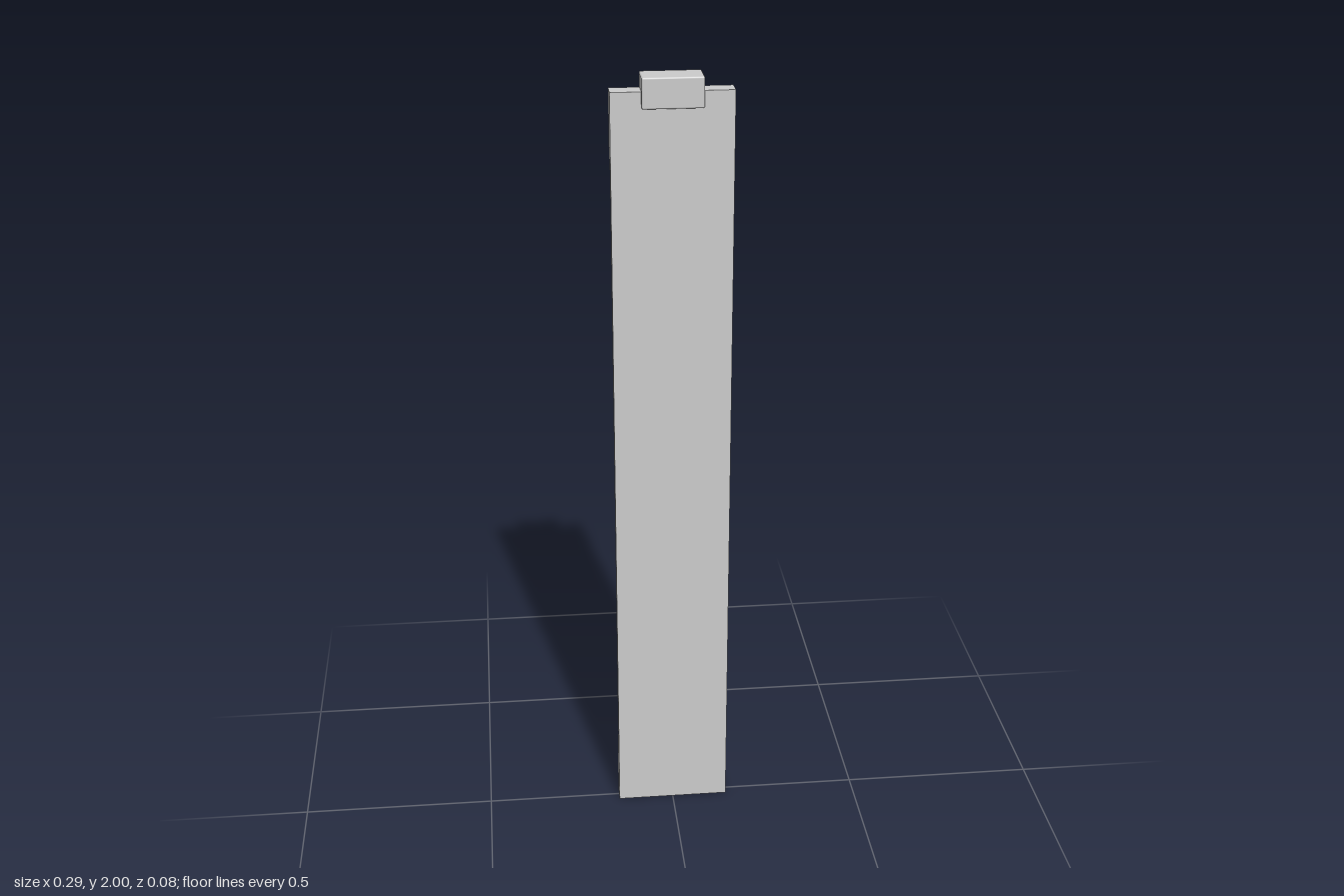
import * as THREE from 'three';
import { toCreasedNormals } from 'three/addons/utils/BufferGeometryUtils.js';
import { RoundedBoxGeometry } from 'three/addons/geometries/RoundedBoxGeometry.js';

export function createModel() {
  const group = new THREE.Group();
  const material = new THREE.MeshStandardMaterial({ color: 0xcccccc });

  // Long panel: flat front, back thickened at both ends by a short ramp
  const width = 0.294, height = 1.965, half = 0.024, thinBack = -0.002;
  const profile = new THREE.Shape([
    [-half, 0], [half, 0], [half, 0.15], [thinBack, 0.2],
    [thinBack, 1.77], [half, 1.82], [half, height], [-half, height],
  ].map(([x, y]) => new THREE.Vector2(x, y)));
  const panelGeometry = new THREE.ExtrudeGeometry(profile, { depth: width, bevelEnabled: false });
  panelGeometry.translate(0, 0, -width / 2);
  panelGeometry.rotateY(Math.PI / 2); // profile x becomes -z
  const panel = new THREE.Mesh(toCreasedNormals(panelGeometry, 0.6), material);
  panel.name = 'panel';
  group.add(panel);

  // Small clip with softened edges, straddling the top edge
  const clip = new THREE.Mesh(new RoundedBoxGeometry(0.147, 0.074, 0.076, 2, 0.004), material);
  clip.name = 'topClip';
  clip.position.set(0, 1.963, -0.001);
  group.add(clip);

  return group;
}
